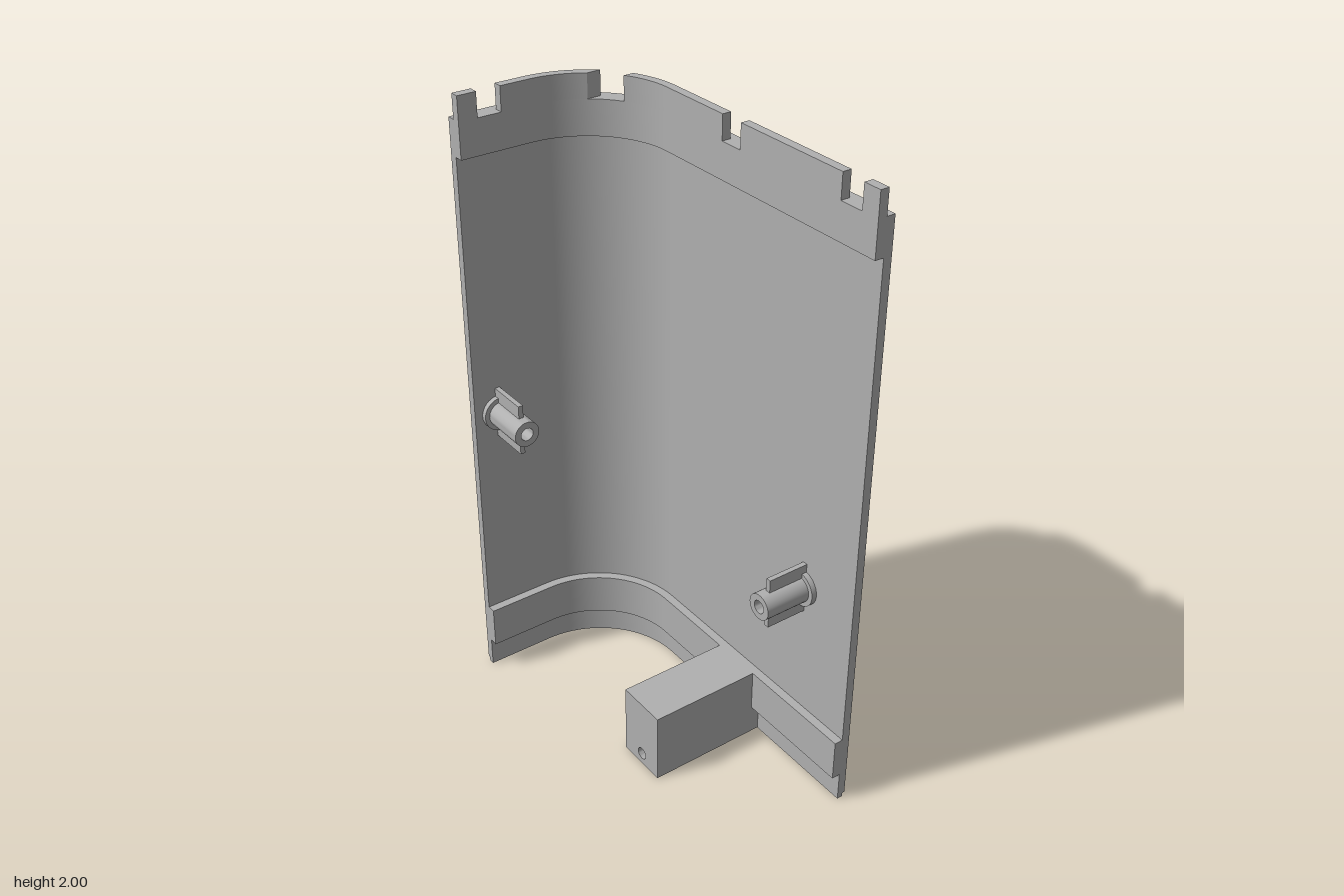
import * as THREE from 'three';
import { toCreasedNormals } from 'three/addons/utils/BufferGeometryUtils.js';

const CX = -0.055, CZ = -0.265, R = 0.33; // corner centre and outer radius
const SKIN = 0.027, FULL = 0.055; // depth of the skin, and of skin plus liner
const START = { x: -0.28 }, END = { z: 0.593 };

export function createModel() {
  const group = new THREE.Group();
  const grey = new THREE.MeshStandardMaterial({ color: 0xb0b0b0 });
  grey.name = 'grey plastic';

  const add = (name, geometry, parent = group) => {
    const mesh = new THREE.Mesh(toCreasedNormals(geometry, 0.5), grey);
    mesh.name = name;
    parent.add(mesh);
    return mesh;
  };

  // Plan line of the wall, inset by d, between two stops given as x (back leg) or z (corner, side leg)
  const edge = (d, from, to) => {
    const r = R - d;
    const angle = (s) => s.x !== undefined ? Math.PI / 2
      : s.z < CZ ? Math.asin(Math.min(1, (CZ - s.z) / r)) : 0;
    const a = angle(from), b = angle(to), points = [];
    if (from.x !== undefined) points.push(new THREE.Vector2(from.x, r - CZ));
    else if (from.z >= CZ) points.push(new THREE.Vector2(CX + r, -from.z));
    if (a !== b) {
      const n = Math.ceil((a - b) * 20);
      for (let i = 0; i <= n; i++) {
        const t = a + (b - a) * i / n;
        points.push(new THREE.Vector2(CX + r * Math.cos(t), r * Math.sin(t) - CZ));
      }
    }
    if (to.x !== undefined) points.push(new THREE.Vector2(to.x, r - CZ));
    else if (to.z >= CZ) points.push(new THREE.Vector2(CX + r, -to.z));
    return points;
  };

  // Upright strip of wall between two insets and two heights
  const band = (name, d0, d1, y0, y1, from = START, to = END) => {
    const shape = new THREE.Shape([...edge(d0, from, to), ...edge(d1, from, to).reverse()]);
    const geometry = new THREE.ExtrudeGeometry(shape, { depth: y1 - y0, bevelEnabled: false });
    add(name, geometry.rotateX(-Math.PI / 2).translate(0, y0, 0));
  };

  // Outer skin, with a cutout at the foot and a fine recessed bottom edge
  band('outerWall', 0, SKIN, 0.088, 1.925);
  for (const [from, to] of [[START, { z: 0.035 }], [{ z: 0.203 }, END]]) {
    band('wallFoot', 0, SKIN, 0.014, 0.088, from, to);
    band('wallBottomEdge', 0.008, SKIN, 0, 0.014, from, to);
  }

  // Inner liner bands and the notched joining lip
  band('lowerLiner', SKIN, FULL, 0.1, 0.24);
  band('upperLiner', SKIN, FULL, 1.815, 1.925);
  const lips = [
    [START, { x: -0.22 }],
    [{ x: -0.145 }, { z: -0.488 }],
    [{ z: -0.412 }, { z: -0.017 }],
    [{ z: 0.06 }, { z: 0.458 }],
    [{ z: 0.535 }, END],
  ];
  for (const [from, to] of lips) band('lip', SKIN, FULL, 1.925, 2, from, to);

  // Screw block: dovetail channel open below, closed by a drilled end plate
  const alongX = (shape, x0, x1) =>
    new THREE.ExtrudeGeometry(shape, { depth: x1 - x0, bevelEnabled: false, curveSegments: 16 })
      .rotateY(Math.PI / 2).translate(x0, 0, 0);
  const outline = (pairs) => new THREE.Shape(pairs.map(([z, y]) => new THREE.Vector2(-z, y)));
  const channel = outline([[0.032, 0], [0.032, 0.24], [0.202, 0.24], [0.202, 0],
    [0.156, 0], [0.192, 0.086], [0.046, 0.086], [0.082, 0]]);
  add('screwBlock', alongX(channel, -0.125, 0.249));
  const plate = outline([[0.032, 0], [0.032, 0.24], [0.202, 0.24], [0.202, 0]]);
  plate.holes.push(new THREE.Path().absarc(-0.119, 0.04, 0.02, 0, Math.PI * 2, true));
  add('screwBlockEnd', alongX(plate, -0.147, -0.125));

  // Hollow screw post with a base collar and two ribs, rising along its own +y
  const makePost = (name) => {
    const post = new THREE.Group();
    post.name = name;
    const profile = [[0, 0.03], [0.021, 0.03], [0.021, 0.168], [0.042, 0.168],
      [0.042, 0.018], [0.057, 0.018], [0.057, 0]].reverse();
    add('postTube', new THREE.LatheGeometry(profile.map(([r, y]) => new THREE.Vector2(r, y)), 32), post);
    for (const side of [-1, 1]) {
      add('postRib', new THREE.BoxGeometry(0.047, 0.137, 0.016).translate(side * 0.0605, 0.0685, 0), post);
    }
    group.add(post);
    return post;
  };
  const backPost = makePost('backPost');
  backPost.position.set(-0.197, 0.967, -0.569);
  backPost.rotation.set(Math.PI / 2, Math.PI / 2, 0);
  const sidePost = makePost('sidePost');
  sidePost.position.set(0.249, 0.682, 0.381);
  sidePost.rotation.z = Math.PI / 2;

  return group;
}
